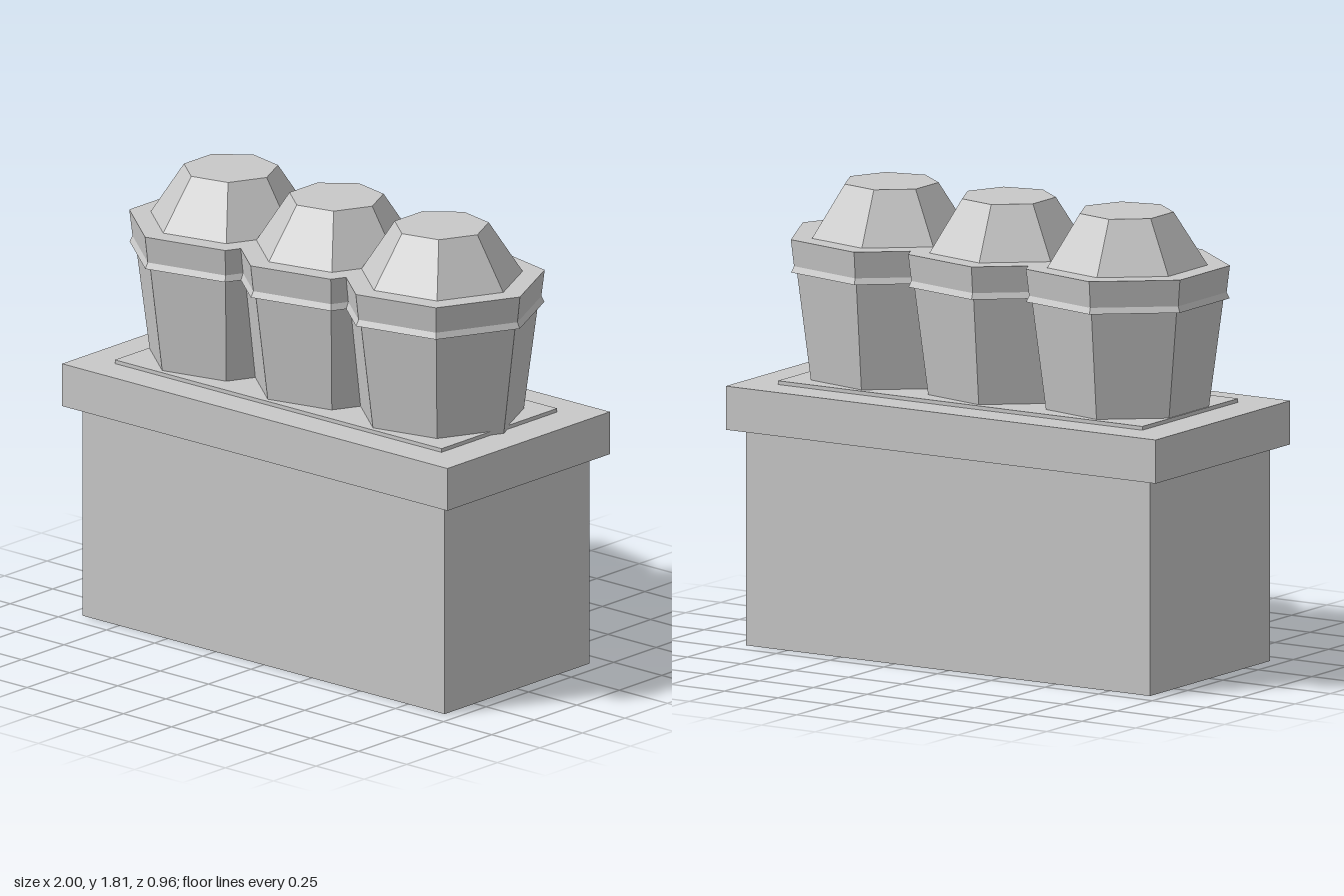
import * as THREE from 'three';

const stone = new THREE.MeshStandardMaterial({ color: 0xc8c8c8, flatShading: true });
stone.name = 'grey stone';

function part(name, geometry, x = 0, y = 0) {
  const mesh = new THREE.Mesh(geometry, stone);
  mesh.name = name;
  mesh.position.set(x, y, 0);
  return mesh;
}

// box standing between two heights
function block(name, width, depth, bottom, top) {
  return part(name, new THREE.BoxGeometry(width, top - bottom, depth), 0, (bottom + top) / 2);
}

// seven-sided turned shape with one corner pointing to +x
function heptagon(name, profile) {
  const points = profile.map(([r, y]) => new THREE.Vector2(r, y));
  return part(name, new THREE.LatheGeometry(points, 7, Math.PI / 2));
}

function createPot(x) {
  const pot = new THREE.Group();
  pot.name = 'chimneyPot';
  pot.position.x = x;
  // tapered body, widening upwards
  pot.add(heptagon('potBody', [[0, 1.03], [0.325, 1.03], [0.384, 1.476]]));
  // rim with a flared lower lip and a flat top
  pot.add(heptagon('potRim', [[0.384, 1.476], [0.408, 1.476], [0.396, 1.5], [0.409, 1.606], [0.32, 1.606]]));
  // faceted cap
  pot.add(heptagon('potCap', [[0.322, 1.606], [0.188, 1.813], [0, 1.813]]));
  return pot;
}

export function createModel() {
  const model = new THREE.Group();
  model.name = 'chimney';
  model.add(block('stackBase', 1.88, 0.852, 0, 0.857));
  model.add(block('stackSlab', 2, 0.956, 0.857, 1.03));
  model.add(block('potPlate', 1.696, 0.68, 1.03, 1.045));
  for (const x of [-0.548, 0, 0.546]) model.add(createPot(x));
  return model;
}
